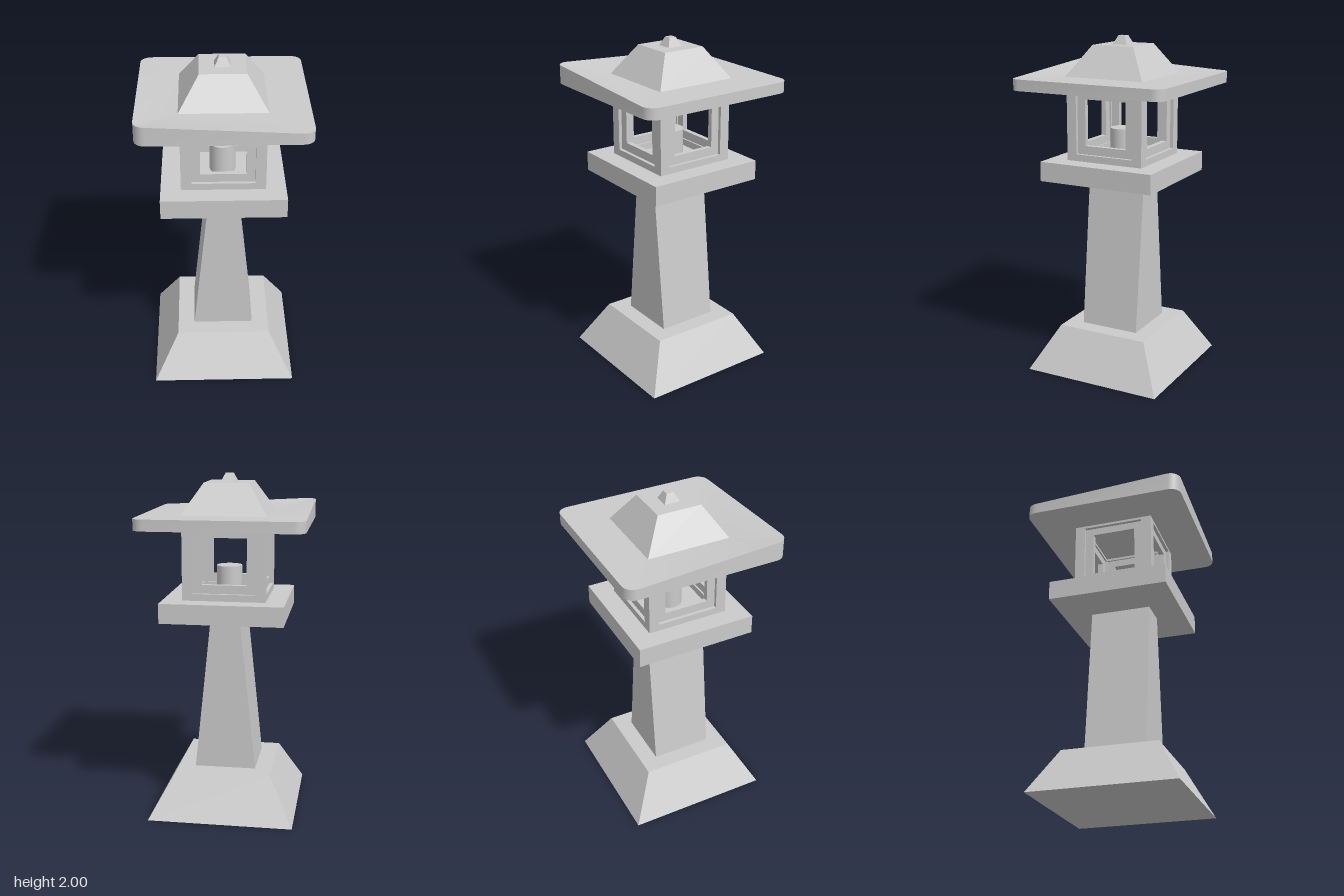
import * as THREE from 'three';
import { toCreasedNormals } from 'three/addons/utils/BufferGeometryUtils.js';

const stone = new THREE.MeshStandardMaterial({ color: 0xcccccc });

function add(parent, name, geometry, x = 0, y = 0, z = 0) {
  const mesh = new THREE.Mesh(geometry, stone);
  mesh.name = name;
  mesh.position.set(x, y, z);
  parent.add(mesh);
  return mesh;
}

// Block from y0 to y1 whose top half-widths may differ from its bottom ones
function block(y0, y1, bottom, topX = bottom, topZ = topX) {
  const geo = new THREE.BoxGeometry(2, y1 - y0, 2);
  geo.translate(0, (y0 + y1) / 2, 0);
  const p = geo.attributes.position;
  for (let i = 0; i < p.count; i++) {
    const top = p.getY(i) > (y0 + y1) / 2;
    p.setX(i, p.getX(i) * (top ? topX : bottom));
    p.setZ(i, p.getZ(i) * (top ? topZ : bottom));
  }
  geo.computeVertexNormals();
  return geo;
}

// Rounded square eave slab with one lifted corner, dipping to the cap's foot
function eaveSlab() {
  const half = 0.475, r = 0.065, inner = 0.245, y0 = 1.71, y1 = 1.775, lift = 0.045, steps = 6;
  const c = half - r;
  const share = (t) => THREE.MathUtils.clamp((t + c) / (2 * c), 0, 1);
  const ring = [];
  for (let q = 0; q < 4; q++) {
    const mid = (q + 0.5) * Math.PI / 2;
    const sx = Math.sign(Math.cos(mid)), sz = -Math.sign(Math.sin(mid));
    for (let i = 0; i <= steps; i++) {
      const a = (q + i / steps) * Math.PI / 2;
      const x = sx * c + r * Math.cos(a), z = sz * c - r * Math.sin(a);
      ring.push({
        low: [x, y0, z],
        high: [x, y1 + lift * share(-x) * share(z), z],
        foot: [sx * inner, y1, sz * inner],
      });
    }
  }
  const pos = [];
  const tri = (a, b, d) => pos.push(...a, ...b, ...d);
  ring.forEach((p, i) => {
    const n = ring[(i + 1) % ring.length];
    tri(p.low, n.low, n.high);
    tri(p.low, n.high, p.high);
    tri(p.high, n.high, p.foot);
    if (p.foot[0] !== n.foot[0] || p.foot[2] !== n.foot[2]) tri(n.high, n.foot, p.foot);
    tri([0, y0, 0], n.low, p.low);
  });
  const geo = new THREE.BufferGeometry();
  geo.setAttribute('position', new THREE.Float32BufferAttribute(pos, 3));
  return toCreasedNormals(geo, 0.5);
}

// Square window frame
function windowFrame() {
  const rect = (P, w, y0, y1) => new P([
    new THREE.Vector2(-w, y0), new THREE.Vector2(w, y0),
    new THREE.Vector2(w, y1), new THREE.Vector2(-w, y1),
  ]);
  const shape = rect(THREE.Shape, 0.18, 1.33, 1.695);
  shape.holes.push(rect(THREE.Path, 0.13, 1.38, 1.65));
  return new THREE.ExtrudeGeometry(shape, { depth: 0.03, bevelEnabled: false });
}

export function createModel() {
  const model = new THREE.Group();
  model.name = 'stoneLantern';

  // Foot, tapering shaft and platform
  add(model, 'base', block(0, 0.265, 0.425, 0.28));
  add(model, 'shaft', block(0.265, 1.175, 0.18, 0.085, 0.18));
  add(model, 'platform', block(1.175, 1.29, 0.355));

  // Light chamber: the same post, rails and window on each side
  const chamber = new THREE.Group();
  chamber.name = 'lightChamber';
  model.add(chamber);
  for (let i = 0; i < 4; i++) {
    const side = new THREE.Group();
    side.name = 'chamberSide';
    side.rotation.y = i * Math.PI / 2;
    add(side, 'cornerPost', new THREE.BoxGeometry(0.06, 0.42, 0.06), 0.21, 1.5, 0.21);
    add(side, 'bottomRail', new THREE.BoxGeometry(0.36, 0.04, 0.06), 0, 1.31, 0.21);
    add(side, 'topRail', new THREE.BoxGeometry(0.36, 0.015, 0.06), 0, 1.7025, 0.21);
    add(side, 'windowFrame', windowFrame(), 0, 0, 0.19);
    chamber.add(side);
  }
  add(chamber, 'candle', new THREE.CylinderGeometry(0.075, 0.075, 0.175, 32), 0, 1.3775, 0);

  // Roof
  add(model, 'eaves', eaveSlab());
  add(model, 'roofCap', block(1.775, 1.95, 0.245, 0.13));
  add(model, 'finial', block(1.95, 2, 0.045, 0.021));
  return model;
}
